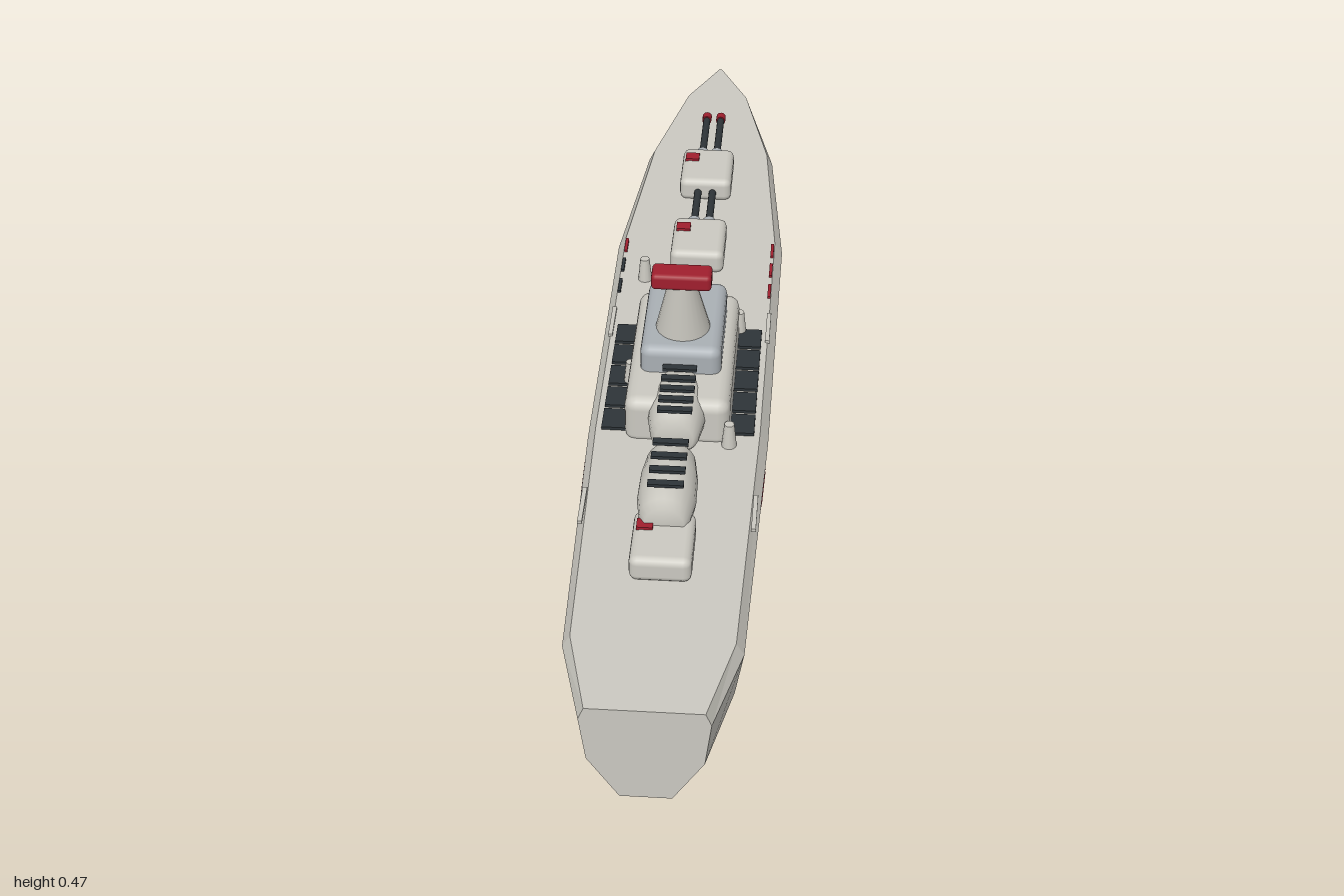
import * as THREE from 'three';
import { RoundedBoxGeometry } from 'three/addons/geometries/RoundedBoxGeometry.js';

const mat = (name, color, extra = {}) => new THREE.MeshStandardMaterial({ name, color, ...extra });

export function createModel() {
  const ship = new THREE.Group();
  ship.name = 'warship';
  const grey = mat('hullGrey', 0xcbc9c1);
  const hullGrey = grey;
  const red = mat('red', 0xa01f2e, { side: THREE.DoubleSide });
  const blueGrey = mat('blueGrey', 0xaab0b5);
  const dark = mat('darkSteel', 0x2e3438);

  const add = (name, geo, material, x = 0, y = 0, z = 0, parent = ship) => {
    const m = new THREE.Mesh(geo, material);
    m.name = name;
    m.position.set(x, y, z);
    parent.add(m);
    return m;
  };
  const box = (w, h, d) => new THREE.BoxGeometry(w, h, d);
  const rounded = (w, h, d, r, s = 2) => new RoundedBoxGeometry(w, h, d, s, r);
  const quads = (list) => {
    const g = new THREE.BufferGeometry();
    const p = list.flatMap(([a, b, c, d]) => [...a, ...b, ...c, ...a, ...c, ...d]);
    g.setAttribute('position', new THREE.Float32BufferAttribute(p, 3));
    g.computeVertexNormals();
    return g;
  };

  // Hull: stations from stern to bow (z, half width), each with the same knuckled section
  const stations = [[1, 0.106], [0.84, 0.149], [0.3, 0.164], [-0.31, 0.166], [-0.645, 0.132], [-0.88, 0.07], [-1, 0.003]];
  const section = [[0.405, 0], [0.9, 0.084], [1, 0.172], [0.91, 0.196]]; // width factor, height
  const P = (i, k, s) => [s * stations[i][1] * section[k][0], section[k][1], stations[i][0]];
  const upper = [], lower = [], last = stations.length - 1;
  for (let i = 0; i < last; i++) {
    for (let k = 0; k < 3; k++) {
      const band = k === 0 ? lower : upper;
      band.push([P(i, k, 1), P(i + 1, k, 1), P(i + 1, k + 1, 1), P(i, k + 1, 1)]);
      band.push([P(i, k + 1, -1), P(i + 1, k + 1, -1), P(i + 1, k, -1), P(i, k, -1)]);
    }
    upper.push([P(i, 3, -1), P(i, 3, 1), P(i + 1, 3, 1), P(i + 1, 3, -1)]); // deck
    upper.push([P(i + 1, 0, -1), P(i + 1, 0, 1), P(i, 0, 1), P(i, 0, -1)]); // flat bottom
  }
  for (let k = 0; k < 3; k++) { // transom and stem
    upper.push([P(0, k, -1), P(0, k, 1), P(0, k + 1, 1), P(0, k + 1, -1)]);
    (k ? upper : lower).push([P(last, k + 1, -1), P(last, k + 1, 1), P(last, k, 1), P(last, k, -1)]);
  }
  add('hullAndDeck', quads(upper), hullGrey);
  add('lowerHullBand', quads(lower), red);

  // Painted plates that follow the hull side
  const hullX = (z, y) => {
    const i = Math.max(1, stations.findIndex((st) => st[0] <= z));
    const [z0, w0] = stations[i - 1], [z1, w1] = stations[i];
    return (w0 + (w1 - w0) * (z - z0) / (z1 - z0)) * (0.9 + 0.1 * (y - 0.084) / 0.088) + 0.0015;
  };
  const sidePlate = (name, corners) => {
    for (const s of [1, -1]) {
      const pts = corners.map(([z, y]) => [s * hullX(z, y), y, z]);
      add(name, quads([s > 0 ? pts : pts.reverse()]), red);
    }
  };
  sidePlate('sideSlash', [[0.56, 0.084], [0.46, 0.084], [0.36, 0.168], [0.455, 0.168]]);
  sidePlate('sideDash', [[-0.22, 0.084], [-0.305, 0.084], [-0.305, 0.09], [-0.22, 0.09]]);

  // Deck edge strips and markers
  for (const s of [1, -1]) {
    for (const z of [0.52, -0.02]) add('edgeStrip', box(0.008, 0.006, 0.09), grey, s * 0.15, 0.198, z);
    [-0.28, -0.212, -0.14].forEach((z, i) =>
      add('edgeMarker', box(0.006, 0.008, 0.042), s < 0 && i ? dark : red, s * 0.147, 0.197, z));
    // Missile hatches beside the deckhouse
    for (let i = 0; i < 5; i++) add('sideHatch', box(0.045, 0.008, 0.055), dark, s * 0.116, 0.198, 0.02 + i * 0.065);
  }

  // Deckhouse and bridge
  add('deckhouse', rounded(0.19, 0.1, 0.35, 0.022), grey, 0, 0.231, 0.155);
  add('bridge', rounded(0.147, 0.07, 0.222, 0.018), blueGrey, 0, 0.298, 0.13);

  // Tapered mast, raked aft at its front edge
  const mast = new THREE.CylinderGeometry(0.025, 0.05, 0.115, 24);
  mast.applyMatrix4(new THREE.Matrix4().makeShear(0, 0, 0, 0.2, 0, 0));
  add('mast', mast, grey, 0, 0.388, 0.176);
  add('radarBar', rounded(0.108, 0.032, 0.045, 0.008), red, 0, 0.459, 0.192);

  // Barrel-shaped funnels with dark slats on top
  const funnel = (z0, length, slatZ) => {
    const profile = [[0, 0], [0.03, 0.03], [0.043, 0.15], [0.05, 0.4], [0.051, 0.7], [0.044, 0.92], [0.034, 1], [0, 1]];
    const g = new THREE.LatheGeometry(profile.map(([r, t]) => new THREE.Vector2(r, t * length)), 20);
    g.rotateX(Math.PI / 2);
    add('funnel', g, grey, 0, 0.246, z0);
    for (const z of slatZ) add('funnelSlat', box(0.062, 0.006, 0.014), dark, 0, 0.299, z);
  };
  funnel(0.42, 0.195, [0.46, 0.497, 0.534, 0.571]);
  funnel(0.21, 0.177, [0.25, 0.28, 0.31, 0.34, 0.37]);

  // Twin-gun turrets pointing to the bow
  for (const z of [-0.525, -0.263, 0.638]) {
    const t = new THREE.Group();
    t.name = 'turret';
    t.position.set(0, 0.195, z);
    ship.add(t);
    add('turretHouse', rounded(0.106, 0.05, 0.132, 0.014), grey, 0, 0.023, 0, t);
    add('roofHatch', box(0.028, 0.008, 0.024), red, -0.032, 0.049, -0.023, t);
    for (const x of [-0.015, 0.015]) {
      const rod = (name, r, len, m, dz) =>
        add(name, new THREE.CylinderGeometry(r, r, len, 12).rotateX(Math.PI / 2), m, x, 0.021, dz, t);
      rod('gunCollar', 0.013, 0.03, blueGrey, -0.074);
      rod('gunBarrel', 0.0075, 0.16, dark, -0.14);
      rod('gunMuzzle', 0.01, 0.018, red, -0.228);
    }
  }

  // Deck vents
  for (const [x, z] of [[-0.1, -0.17], [0.095, 0.335], [0.095, -0.005], [-0.097, 0.165]])
    add('deckVent', new THREE.CylinderGeometry(0.009, 0.014, 0.05, 12), grey, x, 0.219, z);

  return ship;
}
